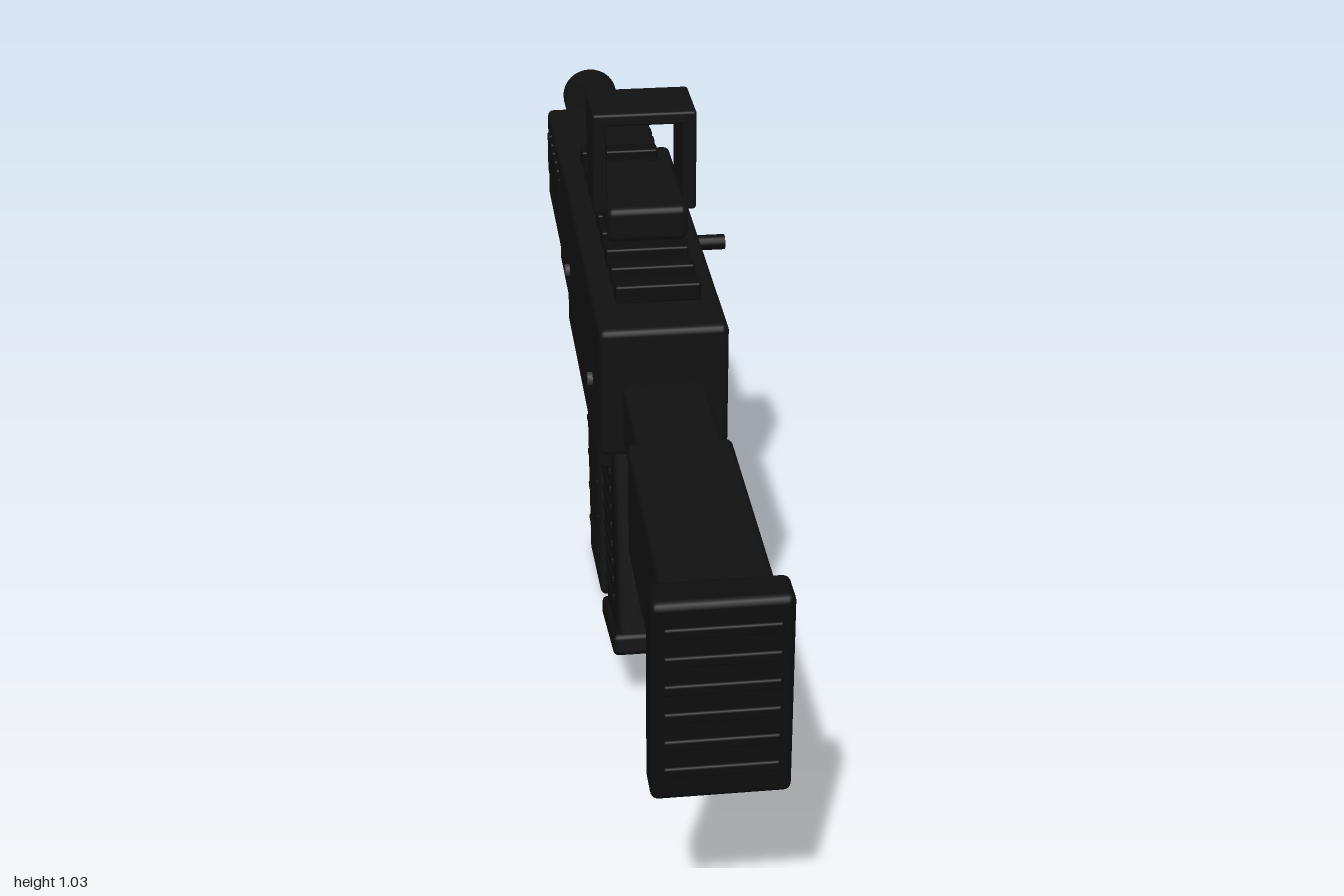
import * as THREE from 'three';
import { RoundedBoxGeometry } from 'three/addons/geometries/RoundedBoxGeometry.js';

const material = (name, hex) => {
  const m = new THREE.MeshStandardMaterial({ color: hex });
  m.name = name;
  return m;
};

export function createModel() {
  const model = new THREE.Group();
  model.name = 'compactBlaster';
  const body = material('body black', 0x111111);
  const dark = material('grip black', 0x0d0d0d);
  const steel = material('bolt steel', 0x4a5350);
  const pinGrey = material('pin grey', 0x3a3a3a);
  const CX = -0.03; // centre line of the body

  const add = (name, geometry, mat, x, y, z, parent = model) => {
    const mesh = new THREE.Mesh(geometry, mat);
    mesh.name = name;
    mesh.position.set(x, y, z);
    parent.add(mesh);
    return mesh;
  };
  // Rounded box given by width and its y and z limits
  const block = (name, w, y0, y1, z0, z1, mat = body, r = 0.012, x = CX) =>
    add(name, new RoundedBoxGeometry(w, y1 - y0, z1 - z0, 2, r), mat, x, (y0 + y1) / 2, (z0 + z1) / 2);
  const tilted = (name, y, z, angle) => {
    const g = new THREE.Group();
    g.name = name;
    g.position.set(CX, y, z);
    g.rotation.x = angle;
    model.add(g);
    return g;
  };

  // Receiver
  block('upperReceiver', 0.213, 0.545, 0.775, -0.497, 0.315);
  block('lowerReceiver', 0.2, 0.455, 0.58, -0.405, 0.2);

  // Handguard with side ribs
  block('handguard', 0.2, 0.53, 0.722, -0.866, -0.485);
  for (let i = 0; i < 6; i++) {
    const z = -0.545 - i * 0.047;
    block('handguardRib', 0.212, 0.615, 0.7, z - 0.014, z + 0.014, dark, 0.004);
  }

  // Separate round muzzle
  const muzzle = add('muzzle', new THREE.CylinderGeometry(0.056, 0.056, 0.066, 32), body, CX, 0.7, -0.967);
  muzzle.rotation.x = Math.PI / 2;

  // Stock
  block('stockTube', 0.137, 0.56, 0.675, 0.3, 0.53);
  block('stockBody', 0.166, 0.476, 0.676, 0.507, 0.95);
  block('buttPlate', 0.206, 0.35, 0.683, 0.928, 0.996, dark);
  for (let i = 0; i < 6; i++) {
    const y = 0.4 + i * 0.047;
    block('buttRidge', 0.17, y - 0.009, y + 0.009, 0.985, 1, dark, 0.004);
  }

  // Top rail teeth
  for (let i = 0; i < 9; i++) {
    const z = 0.209 - i * 0.0758;
    block('railTooth', 0.142, 0.782, 0.813, z - 0.018, z + 0.018, dark, 0.004);
  }

  // Sight base and open square frame
  block('sightBase', 0.137, 0.829, 0.89, -0.14, 0.085);
  for (const s of [-1, 1]) {
    block('sightSide', 0.024, 0.865, 1.042, -0.09, 0.037, body, 0.005, CX + s * 0.076);
  }
  block('sightTop', 0.174, 1.02, 1.042, -0.09, 0.037, body, 0.005);
  block('sightBottom', 0.174, 0.865, 0.885, -0.09, 0.037, body, 0.005);

  // Pistol grip, leaning backwards, with ridges and a wider base
  const grip = tilted('grip', 0.335, 0.154, -0.215);
  add('gripBody', new RoundedBoxGeometry(0.156, 0.42, 0.198, 2, 0.012), dark, 0, 0, 0, grip);
  add('gripBase', new RoundedBoxGeometry(0.175, 0.04, 0.212, 2, 0.01), dark, 0, -0.2, 0, grip);
  for (let i = 0; i < 8; i++) {
    add('gripRidge', new RoundedBoxGeometry(0.164, 0.012, 0.13, 1, 0.003), dark, 0, 0.1 - i * 0.033, -0.015, grip);
  }

  // Magazine, leaning slightly forwards
  const magazine = tilted('magazine', 0.25, -0.207, -0.11);
  add('magazineBody', new RoundedBoxGeometry(0.147, 0.465, 0.217, 2, 0.012), body, 0, 0, 0, magazine);
  for (let i = 0; i < 5; i++) {
    add('magazineRib', new RoundedBoxGeometry(0.153, 0.012, 0.17, 1, 0.003), dark, 0, 0.13 - i * 0.07, 0, magazine);
  }

  // Trigger and guard bar
  const guard = block('triggerGuard', 0.06, 0.38, 0.398, -0.095, 0.09, dark, 0.006);
  guard.rotation.x = -0.09;
  const trigger = block('trigger', 0.03, 0.405, 0.48, 0.01, 0.035, dark, 0.006);
  trigger.rotation.x = 0.2;

  // Ejection port, bolt and charging handle on the left side
  block('portFrame', 0.008, 0.622, 0.705, -0.275, -0.068, dark, 0.003, 0.078);
  block('boltFace', 0.006, 0.65, 0.697, -0.225, -0.095, steel, 0.002, 0.081);
  const handle = add('chargingHandle', new THREE.CylinderGeometry(0.014, 0.014, 0.075, 16), dark, 0.1075, 0.691, -0.215);
  handle.rotation.z = Math.PI / 2;

  // Cross pins through the receiver
  for (const z of [0.175, -0.275]) {
    const pin = add('crossPin', new THREE.CylinderGeometry(0.011, 0.011, 0.23, 16), pinGrey, CX, 0.622, z);
    pin.rotation.z = Math.PI / 2;
  }
  return model;
}
